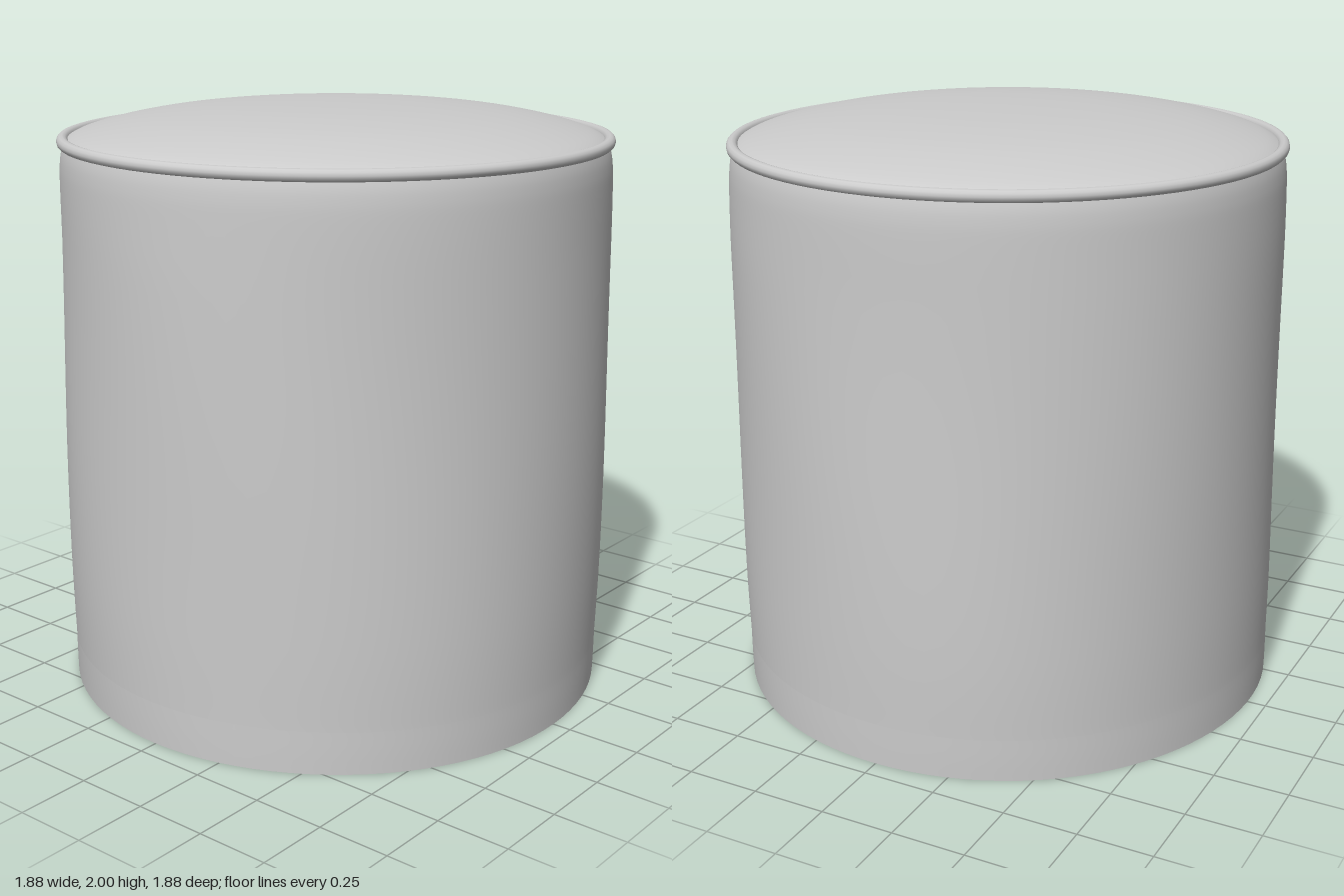
import * as THREE from 'three';
import { mergeVertices } from 'three/addons/utils/BufferGeometryUtils.js';

const fabric = new THREE.MeshStandardMaterial({ color: 0xcccccc, side: THREE.DoubleSide });

// Soft unevenness of the cloth, fading out towards the top seam
function wrinkle(geometry) {
  const p = geometry.attributes.position;
  for (let i = 0; i < p.count; i++) {
    const x = p.getX(i), y = p.getY(i), z = p.getZ(i);
    const a = Math.atan2(z, x);
    const fade = Math.min(1, (1.88 - y) / 0.3);
    const s = 1 + fade * (0.003 * Math.sin(3 * a + 2.5 * y) + 0.002 * Math.sin(5 * a - 4 * y));
    p.setXYZ(i, x * s, y, z * s);
  }
}

// Smooth surface of revolution through a few [radius, height] points
function revolve(name, points, steps, deform) {
  const curve = new THREE.SplineCurve(points.map(([r, y]) => new THREE.Vector2(r, y)));
  let geometry = new THREE.LatheGeometry(curve.getPoints(steps), 96);
  if (deform) deform(geometry);
  geometry.deleteAttribute('uv');
  geometry.deleteAttribute('normal');
  geometry = mergeVertices(geometry, 1e-5);
  geometry.computeVertexNormals();
  const mesh = new THREE.Mesh(geometry, fabric);
  mesh.name = name;
  return mesh;
}

export function createModel() {
  const group = new THREE.Group();
  group.name = 'pouf';

  // Open-bottomed cover: hem band and side wall
  group.add(revolve('hem', [[0.935, 0], [0.936, 0.07], [0.936, 0.145]], 6, wrinkle));
  group.add(revolve('sideWall',
    [[0.936, 0.145], [0.94, 0.4], [0.939, 0.8], [0.934, 1.3], [0.93, 1.7], [0.925, 1.82], [0.912, 1.88]],
    40, wrinkle));

  // Piping around the top seam
  const piping = new THREE.Mesh(new THREE.TorusGeometry(0.914, 0.02, 12, 96), fabric);
  piping.name = 'piping';
  piping.rotation.x = Math.PI / 2;
  piping.position.y = 1.886;
  group.add(piping);

  // Domed top panel
  group.add(revolve('topPanel',
    [[0.912, 1.885], [0.86, 1.911], [0.75, 1.941], [0.6, 1.968], [0.4, 1.988], [0.2, 1.997], [0, 2]], 30));

  return group;
}
